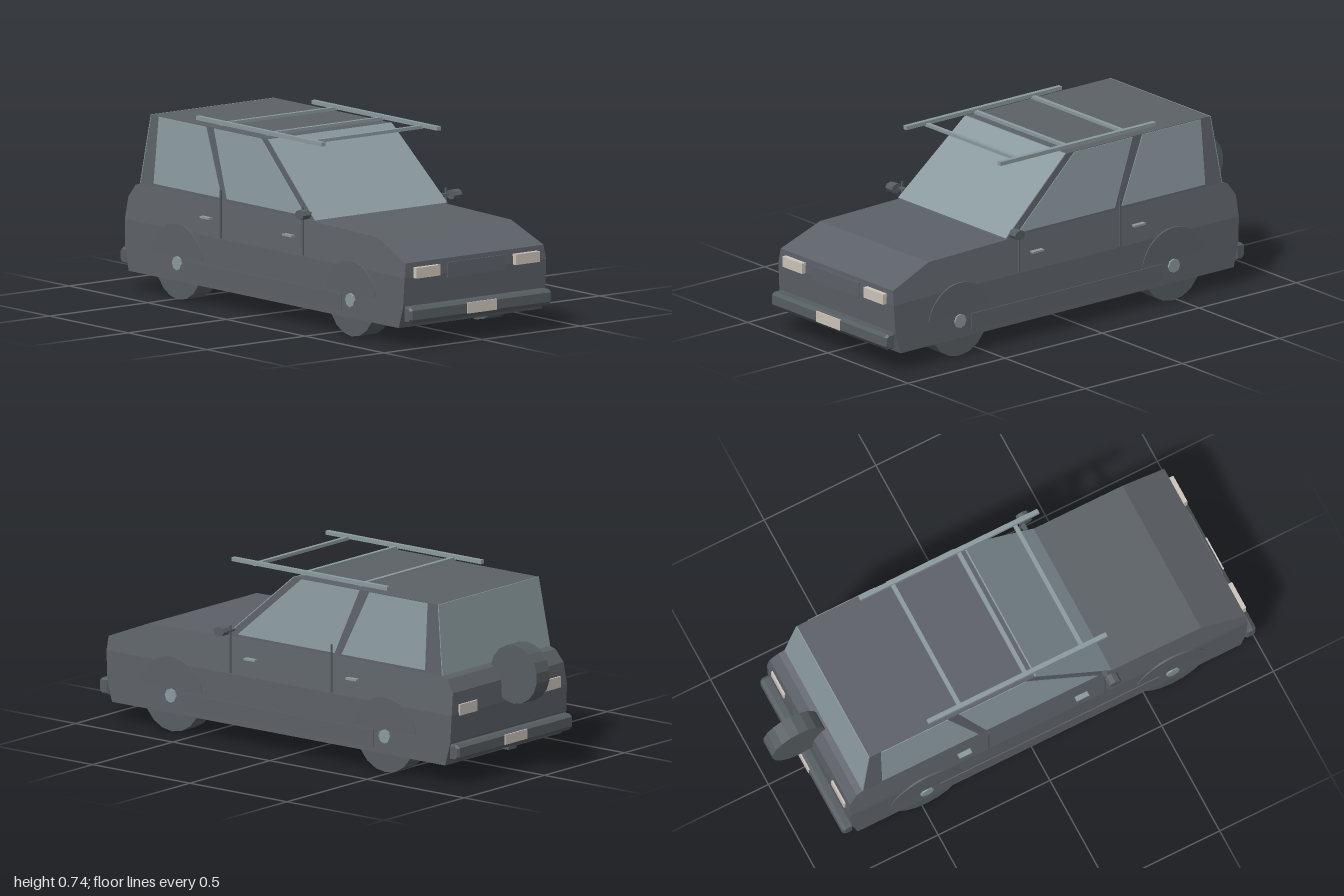
import * as THREE from 'three';

const mat = (name, color) => {
  const m = new THREE.MeshStandardMaterial({ color });
  m.name = name;
  m.flatShading = true;
  return m;
};

export function createModel() {
  const car = new THREE.Group();
  car.name = 'car';
  const paint = mat('body grey', 0x5c6167);
  const dark = mat('rubber grey', 0x565d61);
  const glass = mat('glass grey', 0x8a999e);
  const lamp = mat('lamp cream', 0xccc4b8);

  const add = (name, geo, material, x = 0, y = 0, z = 0) => {
    const m = new THREE.Mesh(geo, material);
    m.name = name;
    m.position.set(x, y, z);
    car.add(m);
    return m;
  };
  const box = (name, material, sx, sy, sz, x, y, z) =>
    add(name, new THREE.BoxGeometry(sx, sy, sz), material, x, y, z);

  // Half width of the car at a height: straight sides, then shoulders, then cabin
  const halfWidth = (y) => {
    if (y <= 0.28) return 0.364 - (y - 0.075) * 0.02;
    if (y <= 0.43) return 0.36 - (y - 0.28) * 0.16;
    return 0.336 - (y - 0.43) * 0.082;
  };
  // Side profile spanning the car, with its sides following the half width
  const slab = (name, material, pts, grow = 0) => {
    const shape = new THREE.Shape(pts.map(([x, y]) => new THREE.Vector2(x, y)));
    const geo = new THREE.ExtrudeGeometry(shape, { depth: 1, bevelEnabled: false });
    const p = geo.attributes.position;
    for (let i = 0; i < p.count; i++) {
      p.setZ(i, (p.getZ(i) > 0.5 ? 1 : -1) * (halfWidth(p.getY(i)) + grow));
    }
    geo.computeVertexNormals();
    return add(name, geo, material);
  };

  // Body shell
  slab('lowerBody', paint, [[-0.79, 0.075], [0.925, 0.075], [0.95, 0.16], [0.957, 0.28], [-0.82, 0.28], [-0.815, 0.17]]);
  slab('upperBody', paint, [[-0.82, 0.28], [0.957, 0.28], [0.953, 0.338], [0.76, 0.415], [0.36, 0.424],
    [0.34, 0.43], [-0.75, 0.43], [-0.78, 0.42], [-0.815, 0.37]]);
  slab('cabin', paint, [[-0.75, 0.43], [0.355, 0.43], [0.03, 0.71], [-0.71, 0.71]]);

  // Windows
  slab('rearSideWindows', glass, [[-0.665, 0.44], [-0.235, 0.44], [-0.36, 0.708], [-0.66, 0.708]], 0.003);
  slab('frontSideWindows', glass, [[-0.2, 0.44], [0.3, 0.44], [-0.01, 0.708], [-0.31, 0.708]], 0.003);
  slab('windshield', glass, [[0.355, 0.43], [0.361, 0.43], [0.036, 0.71], [0.03, 0.71]]);
  slab('rearWindow', glass, [[-0.754, 0.43], [-0.75, 0.43], [-0.71, 0.71], [-0.714, 0.71]]);

  // Bumpers: chamfered bars running across the car
  const bumper = (name, x, s) => {
    const shape = new THREE.Shape();
    [[-0.012, -0.022], [0.012, -0.022], [0.022, -0.01], [0.022, 0.022], [0.012, 0.03], [-0.012, 0.03]]
      .forEach(([a, b], i) => (i ? shape.lineTo(a, b) : shape.moveTo(a, b)));
    const geo = new THREE.ExtrudeGeometry(shape, {
      depth: 0.7, bevelSize: 0.007, bevelThickness: 0.01, bevelSegments: 1,
    });
    geo.translate(0, 0, -0.35);
    const m = add(name, geo, dark, x, 0.127, 0);
    if (s < 0) m.rotation.y = Math.PI;
  };
  bumper('frontBumper', 0.969, 1);
  bumper('rearBumper', -0.825, -1);
  box('towHitch', dark, 0.035, 0.018, 0.05, -0.82, 0.092, 0);

  // Grille, lamps and blank plates
  box('grille', paint, 0.008, 0.06, 0.29, 0.956, 0.29, 0);
  box('frontPlate', lamp, 0.008, 0.044, 0.15, 0.996, 0.134, 0);
  box('rearPlate', lamp, 0.008, 0.04, 0.14, -0.853, 0.135, 0);

  // Parts mirrored on both sides
  for (const s of [1, -1]) {
    const side = s > 0 ? 'Right' : 'Left';
    box('headlight' + side, lamp, 0.03, 0.043, 0.122, 0.96, 0.297, s * 0.253);
    box('tailLight' + side, lamp, 0.014, 0.045, 0.11, -0.819, 0.297, s * 0.26);
    box('sill' + side, paint, 0.98, 0.07, 0.01, 0.07, 0.13, s * 0.361);

    for (const x of [-0.48, 0.62]) {
      const end = (x > 0 ? 'front' : 'rear') + side;
      const tyre = new THREE.CylinderGeometry(0.147, 0.147, 0.088, 18).rotateX(Math.PI / 2);
      add(end + 'Wheel', tyre, dark, x, 0.147, s * 0.316);
      const hub = new THREE.CylinderGeometry(0.029, 0.029, 0.02, 8).rotateX(Math.PI / 2);
      add(end + 'Hub', hub, glass, x, 0.147, s * 0.36);
      // Raised wheel arch
      const arc = new THREE.Shape();
      arc.absarc(0, 0, 0.163, 0.2, Math.PI - 0.2, false);
      const arch = new THREE.ExtrudeGeometry(arc, { depth: 0.008, bevelEnabled: false, curveSegments: 14 });
      arch.translate(0, 0, -0.004);
      add(end + 'Arch', arch, paint, x, 0.143, s * 0.361);
    }

    // Door posts, handles and mirrors
    for (const x of [-0.205, 0.316]) box('doorPost' + side, dark, 0.007, 0.195, 0.007, x, 0.383, s * 0.364);
    for (const x of [-0.307, 0.217]) box('doorHandle' + side, glass, 0.056, 0.008, 0.022, x, 0.353, s * 0.357);
    const mirror = new THREE.CylinderGeometry(0.021, 0.021, 0.04, 8).rotateX(Math.PI / 2).scale(1.3, 0.95, 1);
    add('mirror' + side, mirror, dark, 0.343, 0.456, s * 0.385);
    box('mirrorArm' + side, dark, 0.02, 0.008, 0.05, 0.325, 0.456, s * 0.36);

    // Roof rack rail
    box('rackRail' + side, glass, 0.8, 0.016, 0.019, -0.04, 0.732, s * 0.294);
  }
  for (const x of [-0.295, 0, 0.252]) box('rackCrossbar', glass, 0.017, 0.013, 0.585, x, 0.725, 0);

  // Spare wheel on the tailgate
  const spare = new THREE.CylinderGeometry(0.12, 0.12, 0.08, 18).rotateX(Math.PI / 2);
  add('spareWheel', spare, dark, -0.88, 0.402, -0.005);

  return car;
}
